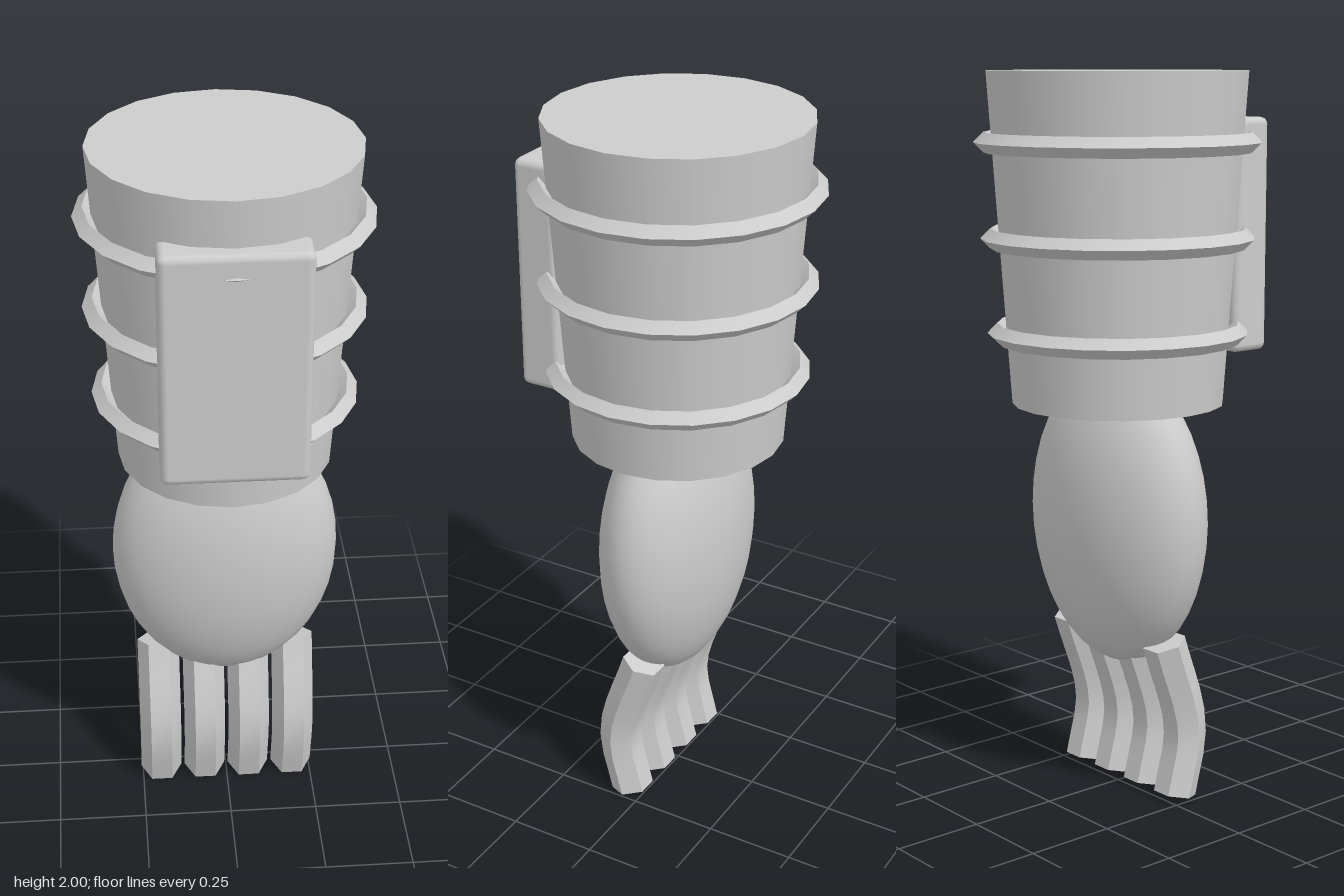
import * as THREE from 'three';
import { toCreasedNormals } from 'three/addons/utils/BufferGeometryUtils.js';
import { RoundedBoxGeometry } from 'three/addons/geometries/RoundedBoxGeometry.js';

export function createModel() {
  const model = new THREE.Group();
  model.name = 'forearmWithHand';
  const grey = new THREE.MeshStandardMaterial({ color: 0xcccccc });
  grey.name = 'light grey';

  const add = (name, geometry, x = 0, y = 0, z = 0, parent = model) => {
    const mesh = new THREE.Mesh(geometry, grey);
    mesh.name = name;
    mesh.position.set(x, y, z);
    parent.add(mesh);
    return mesh;
  };

  // Tapered forearm
  add('forearm', new THREE.CylinderGeometry(0.352, 0.29, 0.895, 20), 0, 1.5525, 0);

  // Diamond-section bands around the forearm
  [[1.812, 0.361], [1.556, 0.345], [1.3, 0.329]].forEach(([y, radius], i) => {
    const ring = new THREE.TorusGeometry(radius, 0.027, 4, 20);
    ring.rotateX(-Math.PI / 2);
    add('band' + (i + 1), toCreasedNormals(ring, 0.7), 0, y, 0);
  });

  // Rounded plate strapped to the front
  add('frontPlate', new RoundedBoxGeometry(0.38, 0.64, 0.123, 2, 0.02), 0, 1.555, 0.3215);

  // Flattened egg-shaped palm
  const palm = new THREE.SphereGeometry(1, 32, 20);
  palm.scale(0.316, 0.42, 0.175);
  add('palm', palm, 0, 0.79, 0);

  // Four curved six-sided fingers with closed ends
  const path = new THREE.CatmullRomCurve3([
    new THREE.Vector3(0, 0.462, 0),
    new THREE.Vector3(0, 0.2, 0.08),
    new THREE.Vector3(0, 0.014, 0.043),
  ]);
  const tube = toCreasedNormals(new THREE.TubeGeometry(path, 8, 0.06, 6), 0.7);
  const cap = (t, sign) => {
    const disc = new THREE.CircleGeometry(0.06, 6);
    const out = path.getTangentAt(t).multiplyScalar(sign);
    disc.applyQuaternion(new THREE.Quaternion().setFromUnitVectors(
      new THREE.Vector3(0, 0, 1), out));
    const p = path.getPointAt(t);
    return disc.translate(p.x, p.y, p.z);
  };
  const topCap = cap(0, -1);
  const tipCap = cap(1, 1);
  [-0.195, -0.065, 0.065, 0.195].forEach((x, i) => {
    const finger = new THREE.Group();
    finger.name = 'finger' + (i + 1);
    finger.position.x = x;
    add('fingerBody', tube, 0, 0, 0, finger);
    add('fingerTop', topCap, 0, 0, 0, finger);
    add('fingerTip', tipCap, 0, 0, 0, finger);
    model.add(finger);
  });

  return model;
}
